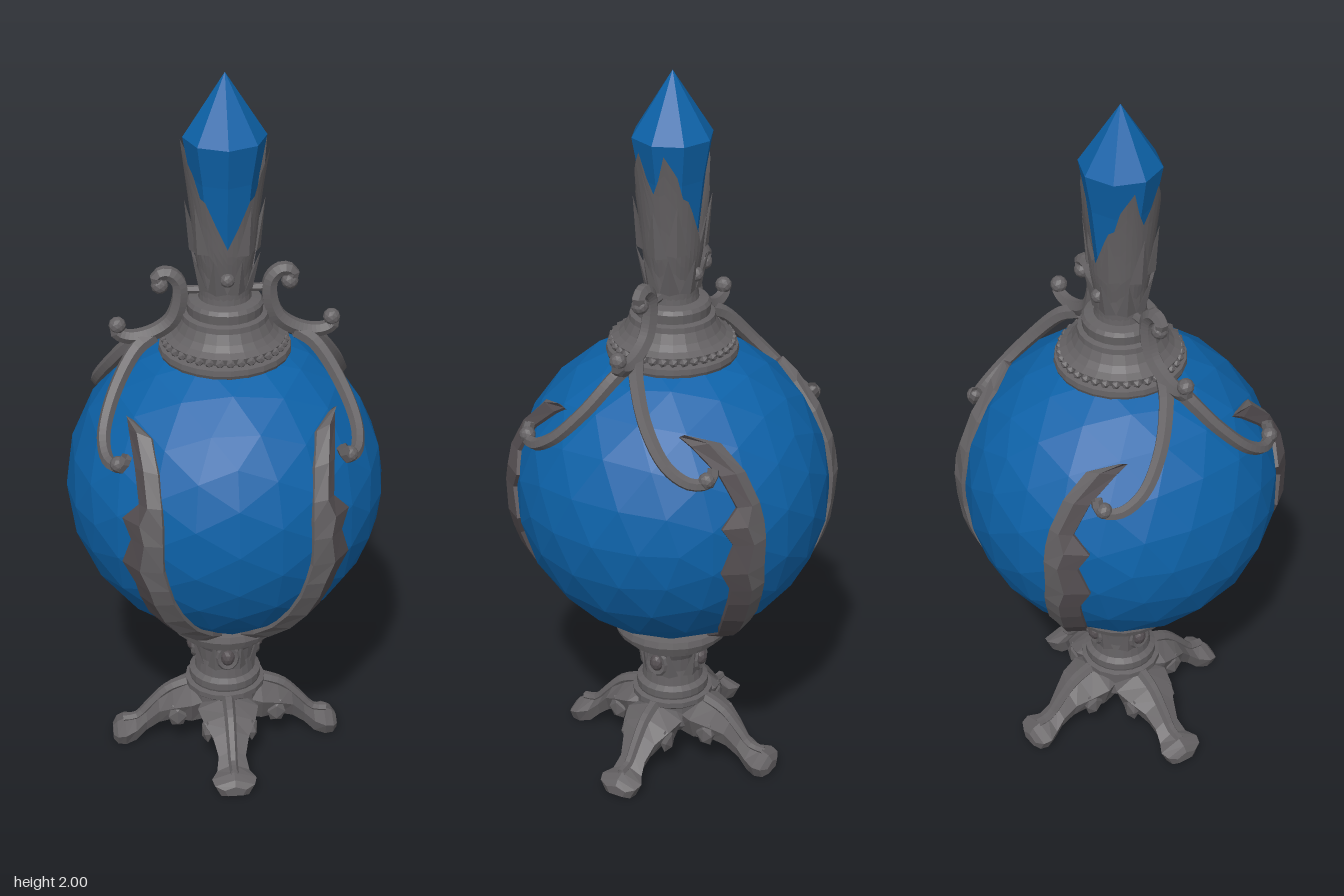
import * as THREE from 'three';

const V = (x, y, z) => new THREE.Vector3(x, y, z);
const glass = new THREE.MeshStandardMaterial({ color: 0x0d62a8 });
glass.name = 'blueGlass';
const iron = new THREE.MeshStandardMaterial({ color: 0x646163, side: THREE.DoubleSide });
iron.name = 'iron';
const darkIron = new THREE.MeshStandardMaterial({ color: 0x544e51, side: THREE.DoubleSide });
darkIron.name = 'darkIron';

// Faceted mesh with one normal per face
function part(name, geo, mat, parent) {
  const g = geo.index ? geo.toNonIndexed() : geo;
  g.computeVertexNormals();
  const m = new THREE.Mesh(g, mat);
  m.name = name;
  parent.add(m);
  return m;
}

function group(name, parent) {
  const g = new THREE.Group();
  g.name = name;
  parent.add(g);
  return g;
}

const lathe = (pts, sides) =>
  new THREE.LatheGeometry(pts.map(([r, y]) => new THREE.Vector2(r, y)), sides);

// Skin over a row of closed cross-sections
function loft(rings, caps = true) {
  const n = rings[0].length, idx = [];
  for (let i = 0; i < rings.length - 1; i++)
    for (let j = 0; j < n; j++) {
      const a = i * n + j, b = i * n + (j + 1) % n;
      idx.push(a, b, a + n, b, b + n, a + n);
    }
  if (caps) {
    const e = (rings.length - 1) * n;
    for (let j = 1; j < n - 1; j++) idx.push(0, j + 1, j, e, e + j, e + j + 1);
  }
  const g = new THREE.BufferGeometry().setFromPoints(rings.flat());
  g.setIndex(idx);
  return g;
}

// Tube whose radius follows radiusAt(t)
function taperTube(points, radiusAt, steps = 26, sides = 6) {
  const curve = new THREE.CatmullRomCurve3(points.map(p => V(...p)));
  const g = new THREE.TubeGeometry(curve, steps, 1, sides);
  const pos = g.attributes.position, v = V();
  for (let i = 0; i < pos.count; i++) {
    const t = Math.floor(i / (sides + 1)) / steps, c = curve.getPointAt(t);
    v.fromBufferAttribute(pos, i).sub(c).multiplyScalar(radiusAt(t)).add(c);
    pos.setXYZ(i, v.x, v.y, v.z);
  }
  return g;
}

// Piecewise-linear lookup in [key, value] pairs
function lookup(table, k) {
  for (let i = 1; i < table.length; i++) {
    const [a, va] = table[i - 1], [b, vb] = table[i];
    if (k <= b) return va + (vb - va) * Math.max(0, (k - a) / (b - a));
  }
  return table[table.length - 1][1];
}

// Ring of pointed leaves leaning outward
function leafRing(name, parent, { count, r, y, w, h, tilt, turn = 0 }) {
  const ring = group(name, parent);
  for (let i = 0; i < count; i++) {
    const arm = group('leafArm', ring);
    arm.rotation.y = turn + i / count * Math.PI * 2;
    const leaf = part('leaf', new THREE.ConeGeometry(w, h, 4), iron, arm);
    leaf.scale.x = 0.45;
    leaf.position.set(r, y, 0);
    leaf.rotation.z = -tilt;
  }
}

function buildBase(root) {
  const base = group('base', root);
  part('hub', lathe([[0, 0.08], [0.07, 0.08], [0.1, 0.11], [0.1, 0.17], [0.112, 0.18], [0.112, 0.195],
    [0.095, 0.2], [0, 0.2]], 16), iron, base);

  // Four legs: distance out, top, bottom, half width
  const sections = [[0.04, 0.19, 0.08, 0.06], [0.1, 0.185, 0.08, 0.085], [0.15, 0.16, 0.085, 0.072],
    [0.19, 0.135, 0.065, 0.05], [0.225, 0.09, 0.035, 0.038], [0.255, 0.065, 0.005, 0.045],
    [0.285, 0.06, 0, 0.062], [0.308, 0.05, 0, 0.055], [0.32, 0.035, 0.006, 0.03]];
  const rings = sections.map(([r, t, b, w]) => {
    const s = t - (t - b) * 0.35;
    return [V(r, t, 0), V(r, s, w), V(r, b, w * 0.7), V(r, b, -w * 0.7), V(r, s, -w)];
  });
  for (let i = 0; i < 4; i++) {
    const leg = group('leg', base);
    leg.rotation.y = i * Math.PI / 2;
    part('legBody', loft(rings), iron, leg);
    part('legSpine', taperTube([[0.09, 0.185, 0], [0.16, 0.158, 0], [0.21, 0.11, 0], [0.25, 0.068, 0],
      [0.29, 0.062, 0]], t => 0.018 - 0.006 * t, 12), iron, leg);
    for (const s of [-1, 1]) {
      const curl = part('legCurl', new THREE.IcosahedronGeometry(0.03, 0), iron, leg);
      curl.position.set(0.14, 0.105, s * 0.062);
      curl.scale.set(1, 1.3, 0.6);
    }
  }

  // Pedestal below the globe
  part('pedestal', lathe([[0.095, 0.19], [0.1, 0.205], [0.1, 0.225], [0.085, 0.235], [0.08, 0.28],
    [0.085, 0.32], [0.1, 0.35], [0.13, 0.36], [0.135, 0.375], [0.155, 0.385], [0.16, 0.4], [0.155, 0.418],
    [0.13, 0.425], [0.145, 0.437], [0.143, 0.455], [0.09, 0.47]], 24), iron, base);
  leafRing('pedestalLeaves', base, { count: 8, r: 0.09, y: 0.31, w: 0.025, h: 0.09, tilt: 0.25, turn: Math.PI / 8 });
  for (let i = 0; i < 4; i++) {
    const medal = group('medallion', base);
    medal.rotation.y = i * Math.PI / 2;
    const frame = part('medallionFrame', new THREE.TorusGeometry(0.026, 0.008, 5, 12), iron, medal);
    frame.position.set(0.088, 0.31, 0);
    frame.rotation.y = Math.PI / 2;
    frame.scale.y = 1.3;
    const boss = part('medallionBoss', new THREE.IcosahedronGeometry(0.02, 1), darkIron, medal);
    boss.position.copy(frame.position);
    boss.scale.y = 1.3;
  }
}

function buildRibs(root) {
  // Height, inner x, outer x along the globe's surface
  const rows = [[1.13, 0.255, 0.268], [1.11, 0.212, 0.266], [1.04, 0.2, 0.256], [0.96, 0.195, 0.25],
    [0.91, 0.194, 0.292], [0.86, 0.194, 0.272], [0.78, 0.193, 0.294], [0.72, 0.178, 0.262], [0.67, 0.165, 0.25],
    [0.6, 0.135, 0.225], [0.54, 0.1, 0.185], [0.49, 0.055, 0.13], [0.455, 0.025, 0.1]];
  const at = (x, y, R) => {
    const dy = y - 0.84;
    const d = V(x, dy, Math.sqrt(Math.max(0, 0.185 - dy * dy - x * x))).setLength(R);
    return d.setY(d.y + 0.84);
  };
  const inner = [], outer = [];
  for (const [y, a, b] of rows) {
    const m = a + (b - a) * 0.5;
    inner.push([at(a, y, 0.4), at(a, y, 0.434), at(m, y, 0.45), at(m, y, 0.4)]);
    outer.push([at(m, y, 0.4), at(m, y, 0.45), at(b, y, 0.434), at(b, y, 0.4)]);
  }
  for (const sx of [1, -1]) for (const sz of [1, -1]) {
    const rib = group('rib', root);
    rib.scale.set(sx, 1, sz);
    part('ribInnerHalf', loft(inner), iron, rib);
    part('ribOuterHalf', loft(outer), darkIron, rib);
  }
}

function buildHandles(root) {
  for (const sx of [1, -1]) {
    const handle = group('handle', root);
    handle.scale.x = sx;
    part('scroll', taperTube([[0.17, 1.42, 0], [0.178, 1.445, 0], [0.15, 1.455, 0], [0.122, 1.43, 0],
      [0.118, 1.38, 0], [0.14, 1.32, 0], [0.19, 1.285, 0], [0.25, 1.275, 0], [0.285, 1.29, 0], [0.285, 1.315, 0]],
      t => 0.017 + 0.006 * Math.sin(t * Math.PI), 32), iron, handle);
    for (const [x, y] of [[0.17, 1.42], [0.282, 1.31]])
      part('scrollKnob', new THREE.IcosahedronGeometry(0.023, 1), iron, handle).position.set(x, y, 0);
    const link = part('neckLink', new THREE.CylinderGeometry(0.011, 0.011, 0.07, 6), iron, handle);
    link.rotation.z = Math.PI / 2;
    link.position.set(0.09, 1.405, 0);
    // Two arms lying on the globe
    for (const sz of [1, -1]) {
      const arm = group('handleArm', handle);
      arm.scale.z = sz;
      part('armRod', taperTube([[0.19, 1.275, 0], [0.235, 1.25, 0.025], [0.3, 1.155, 0.09], [0.332, 1.07, 0.17],
        [0.322, 1.035, 0.235], [0.292, 1.04, 0.275], [0.278, 1.07, 0.275]], t => 0.022 - 0.006 * t), iron, arm);
      part('armKnob', new THREE.IcosahedronGeometry(0.022, 1), iron, arm).position.set(0.3, 1.045, 0.268);
    }
  }
}

function buildTop(root) {
  const top = group('stopper', root);
  part('collar', lathe([[0.14, 1.2], [0.172, 1.225], [0.176, 1.235], [0.174, 1.25], [0.155, 1.256], [0.16, 1.275],
    [0.142, 1.285], [0.128, 1.3], [0.115, 1.325], [0.113, 1.34], [0.1, 1.345], [0.102, 1.37], [0.095, 1.38],
    [0.07, 1.385], [0.066, 1.42], [0.066, 1.5], [0, 1.5]], 24), iron, top);
  const beads = group('beads', top);
  for (let i = 0; i < 36; i++) {
    const a = i / 36 * Math.PI * 2;
    part('bead', new THREE.IcosahedronGeometry(0.013, 0), iron, beads)
      .position.set(Math.cos(a) * 0.158, 1.264, Math.sin(a) * 0.158);
  }

  // Two-lobed cup, split at the front, back and each tip
  const radius = [[1.38, 0.068], [1.45, 0.068], [1.52, 0.08], [1.6, 0.087], [1.7, 0.099], [1.76, 0.108], [1.82, 0.119]];
  const rim = [[0, 1.7], [9, 1.74], [18, 1.81], [36, 1.75], [45, 1.69], [54, 1.68], [72, 1.61], [90, 1.55]];
  const rings = [];
  for (let k = 0; k <= 8; k++) {
    const ring = [];
    for (let j = 0; j < 40; j++) {
      const deg = j * 9, fold = Math.min(deg % 180, 180 - deg % 180), a = deg * Math.PI / 180;
      const y = 1.38 + (lookup(rim, fold) - 1.38) * k / 8, r = lookup(radius, y);
      ring.push(V(Math.cos(a) * r, y, -Math.sin(a) * r));
    }
    rings.push(ring);
  }
  part('crystalCup', loft(rings, false), iron, top);
  leafRing('lowerLeaves', top, { count: 8, r: 0.08, y: 1.47, w: 0.026, h: 0.11, tilt: 0.3, turn: Math.PI / 8 });
  leafRing('upperLeaves', top, { count: 4, r: 0.092, y: 1.6, w: 0.03, h: 0.14, tilt: 0.16, turn: Math.PI / 5 });
  leafRing('sideLeaves', top, { count: 2, r: 0.092, y: 1.59, w: 0.03, h: 0.14, tilt: 0.18 });
  for (const s of [1, -1])
    part('cupBoss', new THREE.IcosahedronGeometry(0.02, 1), iron, top).position.set(0, 1.46, s * 0.07);

  part('crystal', lathe([[0, 1.5], [0.066, 1.53], [0.088, 1.72], [0.108, 1.83], [0, 2]], 8), glass, top);
}

export function createModel() {
  const root = new THREE.Group();
  root.name = 'ornateFlask';
  const globe = part('globe', new THREE.IcosahedronGeometry(0.428, 3), glass, root);
  globe.position.y = 0.84;
  buildBase(root);
  buildRibs(root);
  buildHandles(root);
  buildTop(root);
  return root;
}
